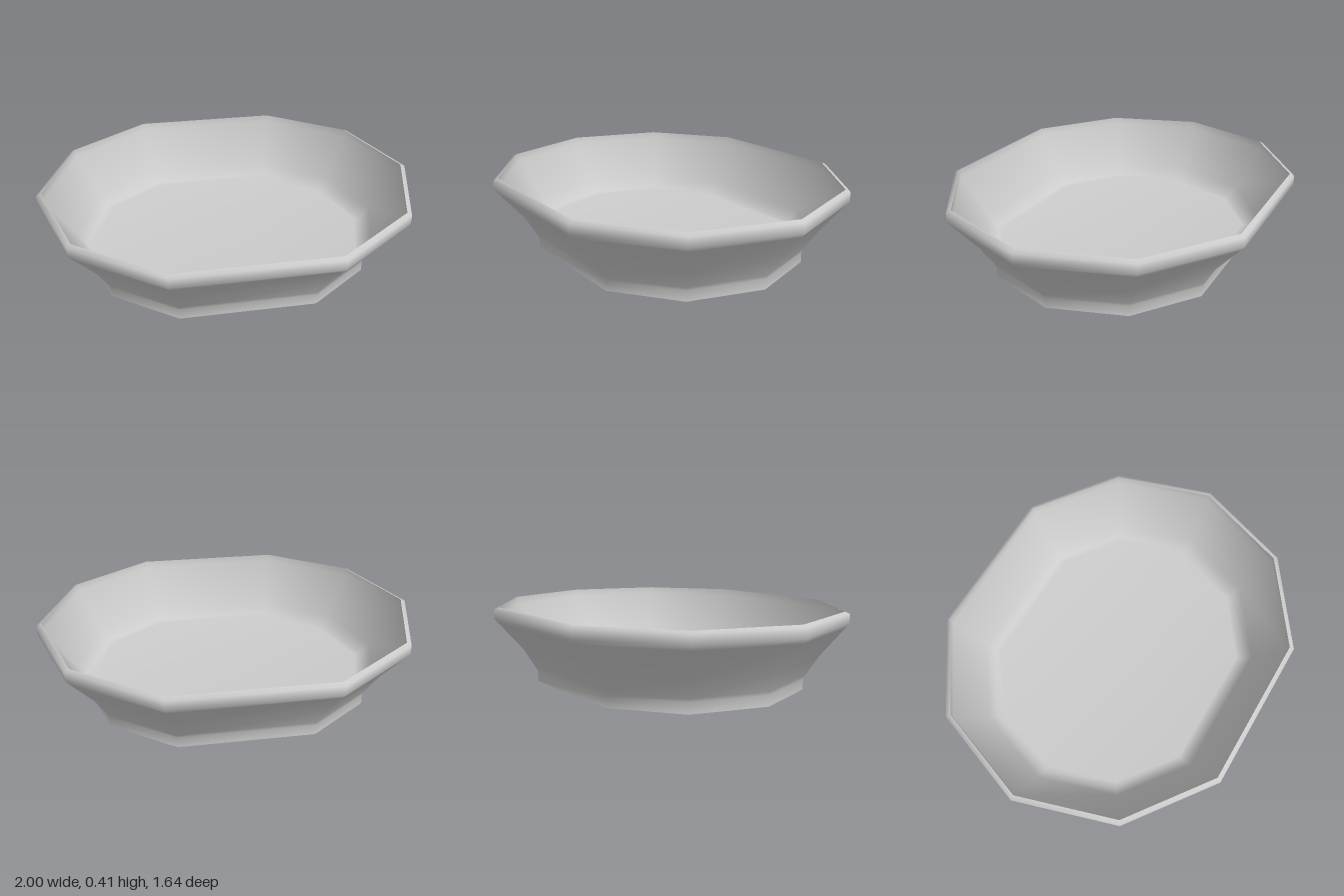
import * as THREE from 'three';
import { toCreasedNormals } from 'three/addons/utils/BufferGeometryUtils.js';

// Ten-sided oval ring: the corners keep their bevel as the ring narrows
function outline([w, d, y]) {
  if (w === 0) return Array.from({ length: 10 }, () => [0, y, 0]);
  const half = [
    [w, 0],
    [0.79 * w + 0.04, 0.62 * d],
    [0.27 * w + 0.13, d],
    [-0.27 * w - 0.13, d],
    [-0.79 * w - 0.04, 0.62 * d],
  ];
  return [...half, ...half.map(([x, z]) => [-x, -z])].map(([x, z]) => [x, y, z]);
}

// Loft through rings of [half width, half depth, height]
function loft(rings) {
  const positions = [];
  for (let i = 0; i < rings.length - 1; i++) {
    const from = outline(rings[i]), to = outline(rings[i + 1]);
    for (let j = 0; j < 10; j++) {
      const k = (j + 1) % 10;
      // A ring of zero size is a single centre point
      if (rings[i][0] > 0) positions.push(...from[j], ...to[j], ...from[k]);
      if (rings[i + 1][0] > 0) positions.push(...from[k], ...to[j], ...to[k]);
    }
  }
  const geometry = new THREE.BufferGeometry();
  geometry.setAttribute('position', new THREE.Float32BufferAttribute(positions, 3));
  return toCreasedNormals(geometry, 1.3);
}

export function createModel() {
  const group = new THREE.Group();
  group.name = 'bowl';
  const material = new THREE.MeshStandardMaterial({ color: 0xcccccc });

  const dish = new THREE.Mesh(loft([
    // Flat underside and upright foot
    [0, 0, 0],
    [0.78, 0.61, 0],
    [0.78, 0.61, 0.055],
    // Flared outer wall
    [0.79, 0.62, 0.075],
    [0.86, 0.68, 0.18],
    [0.98, 0.8, 0.326],
    // Rim, sloping slightly outwards
    [1, 0.82, 0.35],
    [1, 0.82, 0.4],
    [0.975, 0.797, 0.41],
    // Inner wall
    [0.97, 0.792, 0.37],
    [0.82, 0.652, 0.145],
    // Floor
    [0.775, 0.612, 0.085],
    [0.74, 0.58, 0.08],
    [0, 0, 0.08],
  ]), material);
  dish.name = 'dish';
  group.add(dish);
  return group;
}
